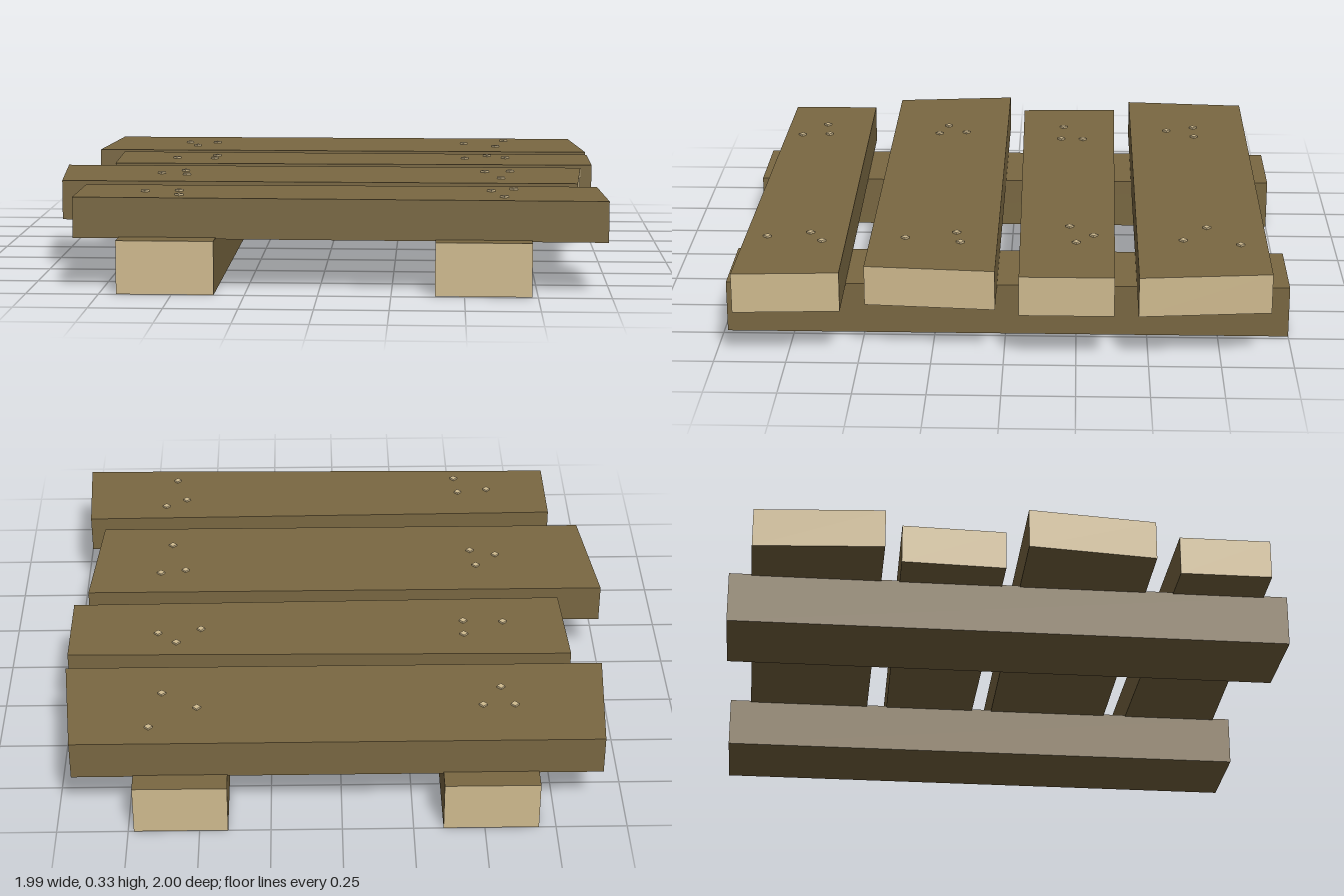
import * as THREE from 'three';

const material = (name, color) => {
  const m = new THREE.MeshStandardMaterial({ color });
  m.name = name;
  return m;
};

export function createModel() {
  const group = new THREE.Group();
  const wood = material('weathered wood', 0x7a6842);
  const cut = material('pale end grain', 0xd0bb8f);

  const add = (name, geometry, mat, x, y, z) => {
    const mesh = new THREE.Mesh(geometry, mat);
    mesh.name = name;
    mesh.position.set(x, y, z);
    group.add(mesh);
  };

  // Two beams running front to back, with pale ends
  const beams = [['right', -0.69, -0.355, 0.995], ['left', 0.4, 0.73, 0.988]];
  for (const [side, x0, x1, front] of beams) {
    add(side + 'Beam', new THREE.BoxGeometry(x1 - x0, 0.185, front + 1),
      [wood, wood, wood, wood, cut, cut], (x0 + x1) / 2, 0.0925, (front - 1) / 2);
  }

  // Crooked planks: corners are [x, z] at back right, back left, front left, front right;
  // nails are [x, z]
  const planks = [
    { corners: [[-0.915, -0.92], [0.945, -0.92], [0.99, -0.463], [-0.95, -0.463]],
      nails: [[-0.615, -0.714], [-0.503, -0.714], [-0.573, -0.607],
        [0.509, -0.714], [0.674, -0.826], [0.636, -0.626]] },
    { corners: [[-0.845, -0.4], [0.99, -0.38], [0.99, -0.053], [-0.83, -0.032]],
      nails: [[-0.61, -0.194], [-0.461, -0.272], [-0.463, -0.186],
        [0.509, -0.224], [0.597, -0.309], [0.666, -0.248]] },
    { corners: [[-1, 0.03], [0.943, 0.03], [0.908, 0.482], [-0.953, 0.482]],
      nails: [[-0.615, 0.269], [-0.535, 0.194], [-0.519, 0.301],
        [0.58, 0.178], [0.674, 0.16], [0.636, 0.357]] },
    { corners: [[-0.85, 0.583], [0.97, 0.562], [0.99, 0.93], [-0.85, 0.908]],
      nails: [[-0.615, 0.759], [-0.498, 0.74], [-0.487, 0.847],
        [0.594, 0.698], [0.674, 0.65], [0.636, 0.847]] },
  ];
  const nailHead = new THREE.CylinderGeometry(0.015, 0.015, 0.008, 4).toNonIndexed();
  nailHead.computeVertexNormals();

  planks.forEach(({ corners, nails }, i) => {
    // Pull the box corners out to the plank outline
    const geo = new THREE.BoxGeometry(1, 0.142, 1);
    const p = geo.attributes.position;
    for (let v = 0; v < p.count; v++) {
      const right = p.getX(v) < 0;
      const c = corners[p.getZ(v) < 0 ? (right ? 0 : 1) : (right ? 3 : 2)];
      p.setX(v, c[0]);
      p.setZ(v, c[1]);
    }
    geo.computeVertexNormals();
    add('plank' + (i + 1), geo, [cut, cut, wood, wood, wood, wood], 0, 0.251, 0);

    // Small diamond nail heads
    nails.forEach(([x, z], n) =>
      add(`plank${i + 1}Nail${n + 1}`, nailHead, cut, x, 0.325, z));
  });

  return group;
}
